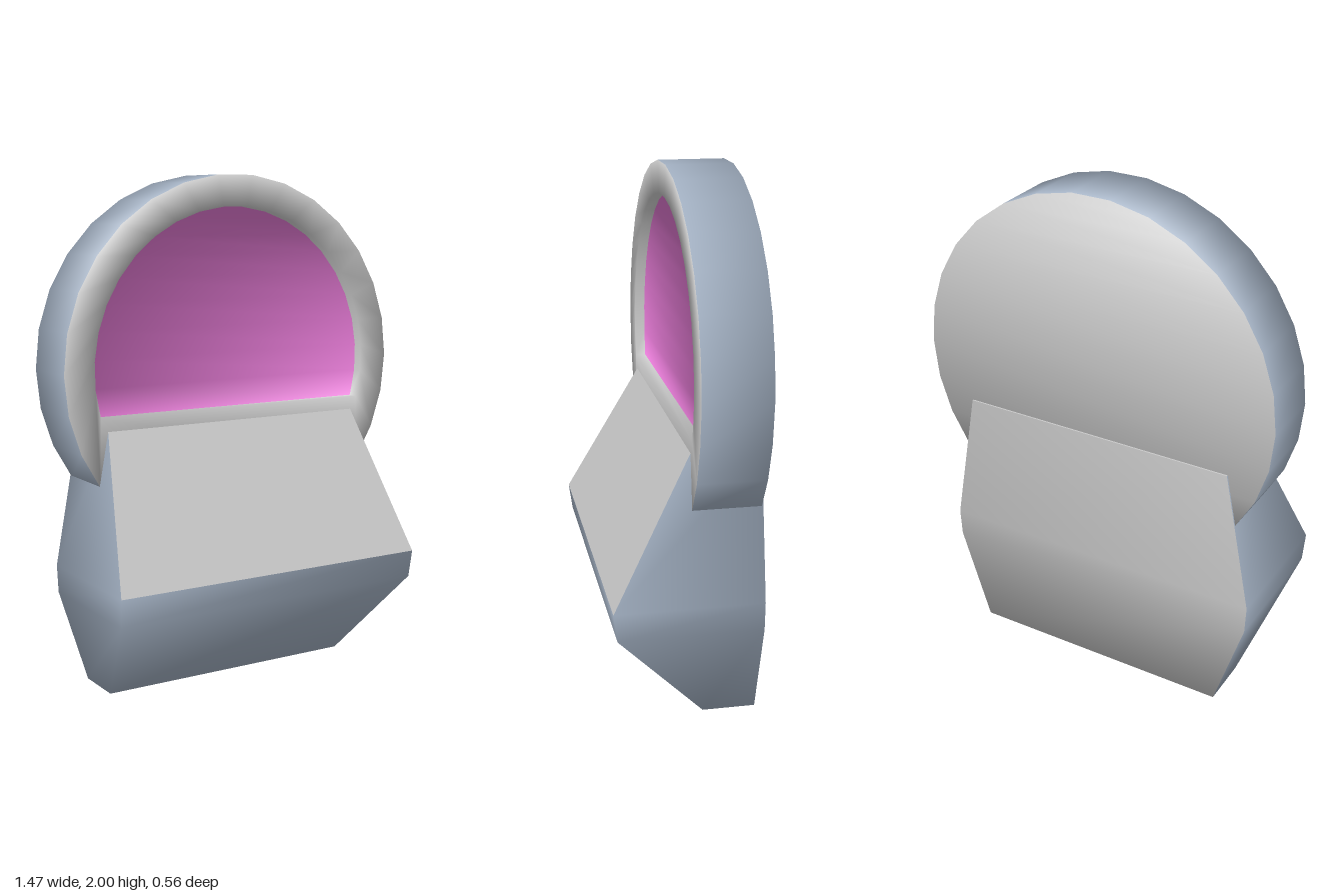
import * as THREE from 'three';

const paint = (name, color) => {
  const m = new THREE.MeshStandardMaterial({ color });
  m.name = name;
  return m;
};

// Normals averaged at shared corners, each face weighted by its corner angle
function smoothNormals(corners, index) {
  const points = corners.map((c) => new THREE.Vector3(...c));
  const sums = points.map(() => new THREE.Vector3());
  for (let t = 0; t < index.length; t += 3) {
    for (let k = 0; k < 3; k++) {
      const [a, b, c] = [0, 1, 2].map((s) => index[t + (k + s) % 3]);
      const ab = points[b].clone().sub(points[a]);
      const ac = points[c].clone().sub(points[a]);
      const normal = ab.clone().cross(ac).normalize();
      sums[a].addScaledVector(normal, ab.angleTo(ac));
    }
  }
  return sums.flatMap((s) => s.normalize().toArray());
}

// Mesh from shared corners; each part is { material, quads }
function quadMesh(name, corners, parts) {
  const geo = new THREE.BufferGeometry();
  const index = [];
  parts.forEach(({ quads }, m) => {
    const start = index.length;
    quads.forEach(([a, b, c, d]) => index.push(a, b, c, a, c, d));
    geo.addGroup(start, index.length - start, m);
  });
  geo.setAttribute('position', new THREE.Float32BufferAttribute(corners.flat(), 3));
  geo.setAttribute('normal', new THREE.Float32BufferAttribute(smoothNormals(corners, index), 3));
  geo.setIndex(index);
  const mesh = new THREE.Mesh(geo, parts.map((p) => p.material));
  mesh.name = name;
  return mesh;
}

// Round head: a truncated disc with a rim around a shallow recessed panel
function createHead(grey, blue, pink) {
  const n = 22, centreY = 1.269;
  const ring = (radius, lowAngle, z) => Array.from({ length: n }, (_, i) => {
    const low = THREE.MathUtils.degToRad(lowAngle);
    const a = low + (Math.PI - 2 * low) * i / (n - 1);
    return [radius * Math.cos(a), centreY + radius * Math.sin(a), z];
  });
  const corners = [
    ...ring(0.735, -36, -0.02),   // outer front
    ...ring(0.735, -36, -0.276),  // outer back
    ...ring(0.612, -16, -0.02),   // recess mouth
    ...ring(0.612, -16, -0.06),   // recessed panel
  ];
  const band = (p, q) => Array.from({ length: n }, (_, i) => {
    const j = (i + 1) % n;
    return [p * n + i, q * n + i, q * n + j, p * n + j];
  });
  const cap = (p) => Array.from({ length: n / 2 - 1 }, (_, i) =>
    [i, i + 1, n - 2 - i, n - 1 - i].map((k) => p * n + k));
  const flip = (quads) => quads.map((q) => [...q].reverse());

  return quadMesh('head', corners, [
    { material: blue, quads: band(0, 1) },
    { material: grey, quads: [...flip(band(0, 2)), ...flip(band(2, 3)), ...flip(cap(1))] },
    { material: pink, quads: cap(3) },
  ]);
}

// Faceted base: widths and front depths by height, with a flat back
function createBase(grey, blue) {
  const rows = [ // y, half width, front z
    [0, 0.54, -0.08],
    [0.38, 0.66, 0.263],
    [0.49, 0.665, 0.278],
    [1.05, 0.56, -0.021],
  ];
  const back = -0.282;
  const corners = rows.flatMap(([y, w, z]) =>
    [[w, y, z], [-w, y, z], [-w, y, back], [w, y, back]]);
  // Quad between two neighbouring corners, from row j up to row j + 1
  const wall = (j, a, b) => [j * 4 + a, j * 4 + b, j * 4 + 4 + b, j * 4 + 4 + a];
  const all = [0, 1, 2];

  const base = new THREE.Group();
  base.name = 'base';
  base.add(
    quadMesh('baseShell', corners, [
      {
        material: blue,
        quads: [...all.flatMap((j) => [wall(j, 0, 3), wall(j, 2, 1)]), wall(0, 1, 0), wall(1, 1, 0)],
      },
      { material: grey, quads: [...all.map((j) => wall(j, 3, 2)), [2, 3, 0, 1]] },
    ]),
    quadMesh('frontPanel', corners, [{ material: grey, quads: [wall(2, 1, 0)] }]),
    quadMesh('baseTop', corners, [{ material: grey, quads: [[13, 12, 15, 14]] }]),
  );
  return base;
}

export function createModel() {
  const grey = paint('light grey', 0xcacaca);
  const blue = paint('blue grey', 0xa4b2c4);
  const pink = paint('pink', 0xe67ad6);
  const model = new THREE.Group();
  model.name = 'model';
  model.add(createHead(grey, blue, pink), createBase(grey, blue));
  return model;
}
